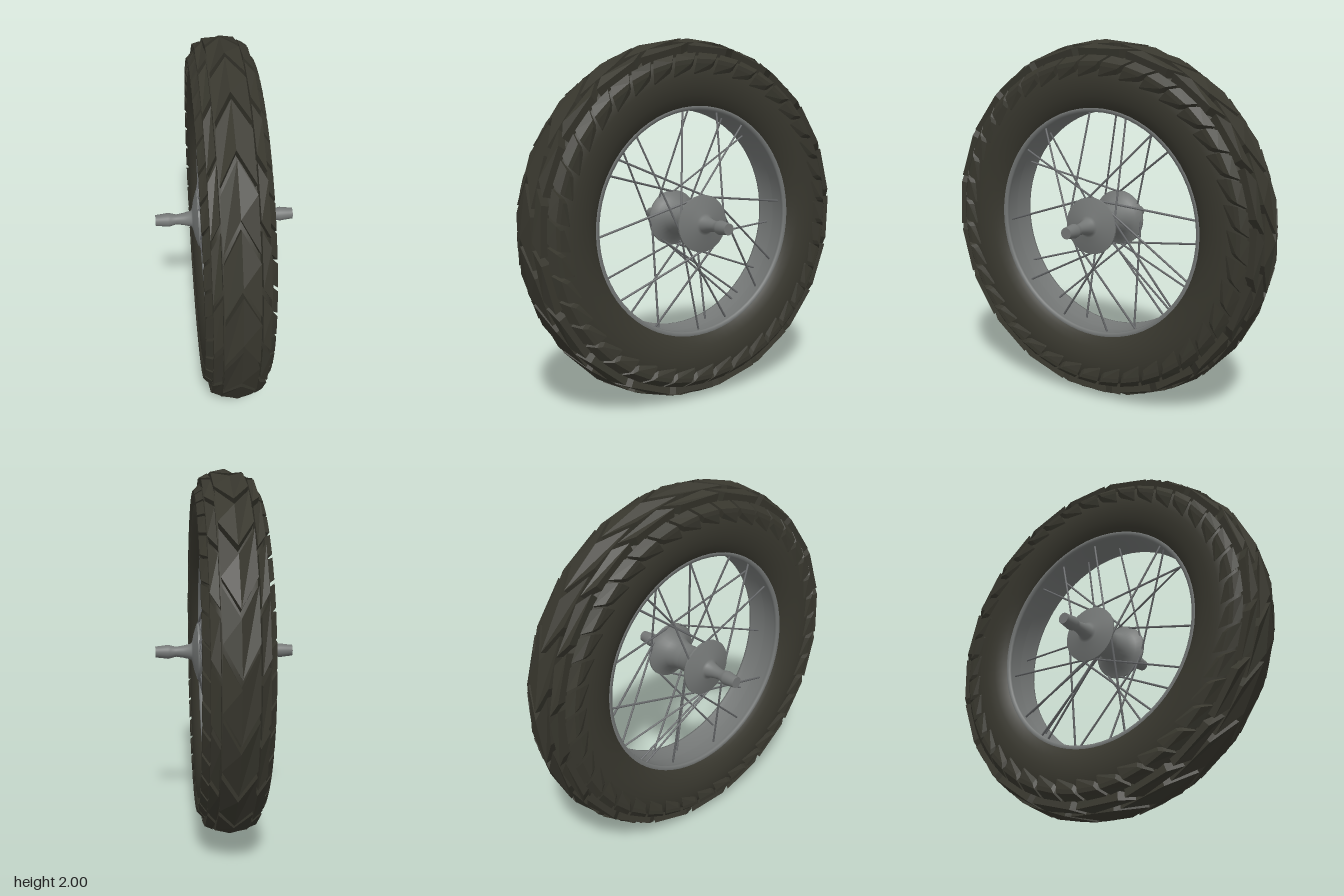
import * as THREE from 'three';

const rubber = new THREE.MeshStandardMaterial({ color: 0x38372e });
rubber.name = 'rubber';
const metal = new THREE.MeshStandardMaterial({ color: 0x747776 });
metal.name = 'metal';
const spokeSteel = new THREE.MeshStandardMaterial({ color: 0x66686a });
spokeSteel.name = 'spokeSteel';

// Surface of revolution around the x axis from [radius, x] points
function turned(name, profile, material, segments = 64) {
  const geo = new THREE.LatheGeometry(profile.map(([r, x]) => new THREE.Vector2(r, x)), segments);
  geo.rotateZ(-Math.PI / 2);
  const mesh = new THREE.Mesh(geo, material);
  mesh.name = name;
  return mesh;
}

// Mirrors a half profile across x = 0
const mirrored = (half) => [...half.map(([r, x]) => [r, -x]), ...half.slice().reverse()];

// Ring of raised tread blocks; a row is [x, radius, start angle, end angle], with x increasing
function treadRing(name, rows, count, shift, depth) {
  const positions = [];
  const at = (x, r, a) => [x, r * Math.sin(a), r * Math.cos(a)];
  const quad = (a, b, c, d) => positions.push(...a, ...b, ...c, ...a, ...c, ...d);
  for (let n = 0; n < count; n++) {
    const base = (n + shift) / count * Math.PI * 2;
    const rings = rows.map(([x, r, a0, a1]) => [
      at(x, r, base + a0), at(x, r, base + a1),
      at(x * 0.9, r - depth, base + a1), at(x * 0.9, r - depth, base + a0),
    ]);
    for (let i = 0; i < rings.length - 1; i++) {
      for (let k = 0; k < 4; k++) {
        const m = (k + 1) % 4;
        quad(rings[i][k], rings[i + 1][k], rings[i + 1][m], rings[i][m]);
      }
    }
    quad(...rings[0]);
    quad(...rings[rings.length - 1].slice().reverse());
  }
  const geo = new THREE.BufferGeometry();
  geo.setAttribute('position', new THREE.Float32BufferAttribute(positions, 3));
  geo.computeVertexNormals();
  const mesh = new THREE.Mesh(geo, rubber);
  mesh.name = name;
  return mesh;
}

// Thin round bar between two points
function bar(from, to, radius) {
  const dir = to.clone().sub(from);
  const mesh = new THREE.Mesh(new THREE.CylinderGeometry(radius, radius, dir.length(), 6), spokeSteel);
  mesh.position.copy(from).add(to).multiplyScalar(0.5);
  mesh.quaternion.setFromUnitVectors(new THREE.Vector3(0, 1, 0), dir.normalize());
  mesh.name = 'spoke';
  return mesh;
}

export function createModel() {
  const wheel = new THREE.Group();
  wheel.name = 'wheel';
  wheel.position.y = 1;

  // Tyre carcass
  wheel.add(turned('tyre', mirrored([
    [0.625, 0.1], [0.635, 0.112], [0.66, 0.13], [0.7, 0.149], [0.75, 0.16], [0.8, 0.162],
    [0.85, 0.154], [0.89, 0.137], [0.92, 0.11], [0.935, 0.07], [0.942, 0],
  ]), rubber, 72));

  // Central chevrons pointing along the rolling direction
  wheel.add(treadRing('chevronTread', [
    [-0.085, 0.984, -0.16, 0.11], [0, 1, 0, 0.27], [0.085, 0.984, -0.16, 0.11],
  ], 20, 0, 0.06));

  // Staggered blocks beside the chevrons, and toothed shoulder blocks
  const sideRows = [
    ['innerTread', [[0.093, 0.976, -0.17, 0.1], [0.136, 0.958, -0.25, 0.02]], 20, 0.5, 0.06],
    ['shoulderTread', [
      [0.137, 0.918, -0.02, 0.115], [0.17, 0.885, -0.06, 0.075],
      [0.171, 0.862, -0.07, 0.05], [0.165, 0.815, -0.085, -0.075],
    ], 40, 0, 0.035],
  ];
  for (const [name, rows, count, shift, depth] of sideRows) {
    const flipped = rows.map(([x, ...rest]) => [-x, ...rest]).reverse();
    wheel.add(treadRing(name + 'Left', rows, count, shift, depth));
    wheel.add(treadRing(name + 'Right', flipped, count, shift, depth));
  }

  // Rim facing the hub
  wheel.add(turned('rim', mirrored([
    [0.65, 0.108], [0.635, 0.116], [0.617, 0.112], [0.615, 0.098], [0.627, 0.075], [0.63, 0],
  ]).reverse(), metal, 72));

  // Hub with two flanges, waisted barrel and axle ends
  const flat = (r, x) => [[r, x], [r, x]];
  wheel.add(turned('hub', mirrored([
    [0, 0.385], ...flat(0.031, 0.385), [0.033, 0.36], [0.039, 0.315], [0.036, 0.3],
    [0.028, 0.27], [0.034, 0.23], [0.045, 0.185], [0.06, 0.178], [0.1, 0.17],
    ...flat(0.158, 0.152), ...flat(0.158, 0.142), [0.12, 0.125], [0.09, 0.09], [0.078, 0.04], [0.076, 0],
  ]), metal, 32));

  // Crossed spokes: [rim angle, flange angle] in degrees, alternating between flanges
  const spokes = [
    [96, 160], [86, 130], [75, 5], [64, 35], [57, 100], [47, 90], [6.5, 90], [-6, -90],
    [-26, 40], [-33, -90], [-43, 20], [-55, -110], [-68, -150], [-75, 10], [-86, -170],
    [255, 200], [246, 310], [235, 300], [219, 275], [209, 270], [184, 105], [152, 85],
    [143, 75], [131, 200], [126, 195], [-50, -140],
  ];
  const spokeSet = new THREE.Group();
  spokeSet.name = 'spokes';
  const point = (x, r, deg) => {
    const a = THREE.MathUtils.degToRad(deg);
    return new THREE.Vector3(x, r * Math.sin(a), -r * Math.cos(a));
  };
  spokes.forEach(([rimAngle, hubAngle], i) => {
    const side = i % 2 ? -1 : 1;
    spokeSet.add(bar(point(side * 0.147, 0.148, hubAngle), point(side * 0.05, 0.63, rimAngle), 0.006));
  });
  wheel.add(spokeSet);

  const model = new THREE.Group();
  model.name = 'spokedWheel';
  model.add(wheel);
  return model;
}
